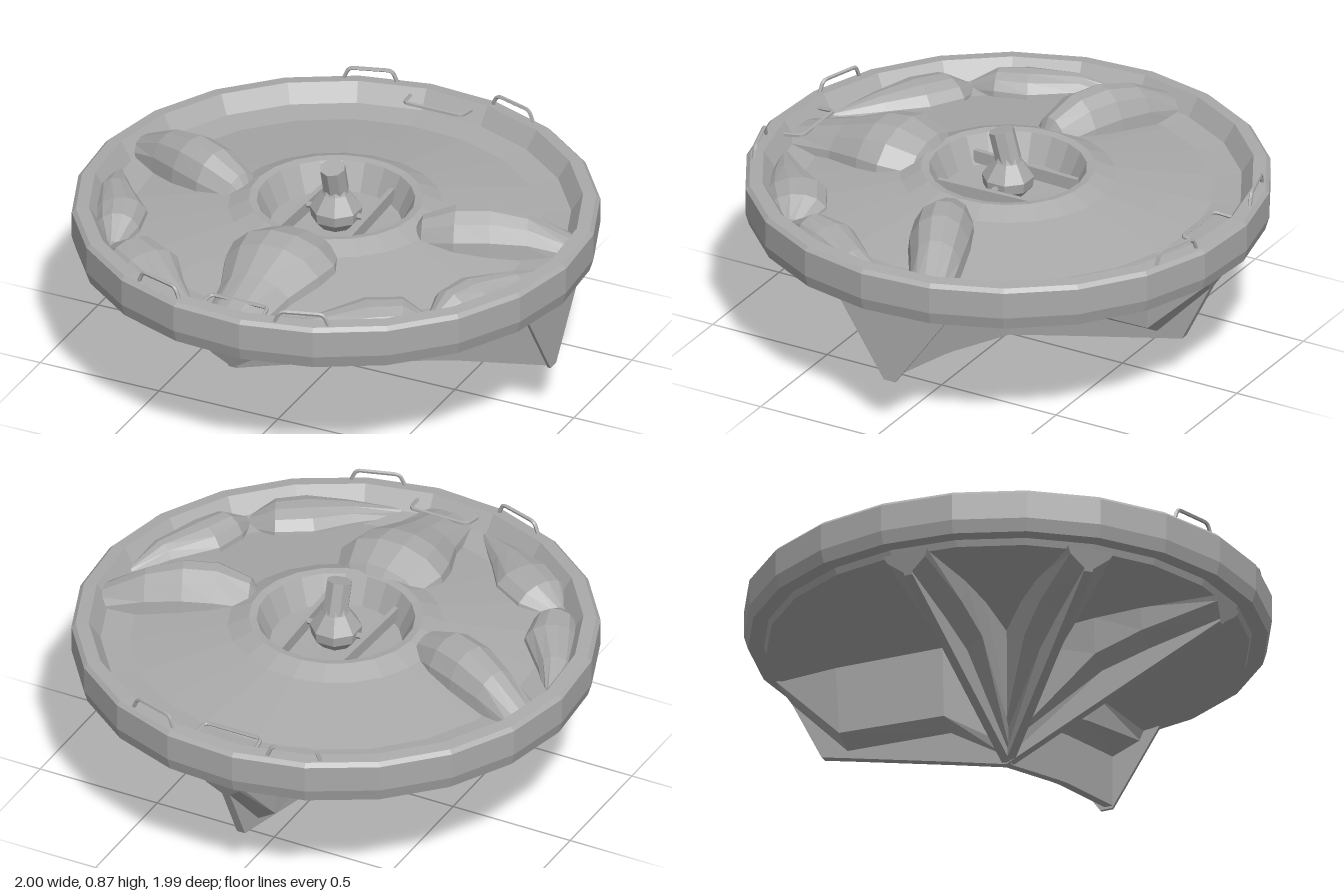
import * as THREE from 'three';

const grey = new THREE.MeshStandardMaterial({ color: 0xaaaaaa, flatShading: true, side: THREE.DoubleSide });
grey.name = 'plain grey';

function add(parent, name, geometry) {
  const mesh = new THREE.Mesh(geometry, grey);
  mesh.name = name;
  parent.add(mesh);
  return mesh;
}

function lathe(points, sides, start = 0) {
  return new THREE.LatheGeometry(points.map(p => new THREE.Vector2(p[0], p[1])), sides, start);
}

// Skin between successive rings of points
function loft(rings, closed, endCentre) {
  const out = [];
  const tri = (a, b, c) => out.push(...a, ...b, ...c);
  const n = rings[0].length;
  for (let i = 0; i < rings.length - 1; i++) {
    for (let j = 0; j < (closed ? n : n - 1); j++) {
      const k = (j + 1) % n;
      const [a, b, c, d] = [rings[i][j], rings[i + 1][j], rings[i][k], rings[i + 1][k]];
      tri(a, b, c);
      tri(c, b, d);
    }
  }
  if (endCentre) {
    const last = rings[rings.length - 1];
    last.forEach((p, j) => tri(endCentre, last[(j + 1) % n], p));
  }
  const g = new THREE.BufferGeometry();
  g.setAttribute('position', new THREE.Float32BufferAttribute(out, 3));
  g.computeVertexNormals();
  return g;
}

// Rounded swelling; each station is [x, z, half width, top height]
function lobe(stations, base = 0.58) {
  const steps = 7;
  return loft(stations.map(([x, z, half, top], i) => {
    const p = stations[Math.max(i - 1, 0)];
    const q = stations[Math.min(i + 1, stations.length - 1)];
    const len = Math.hypot(q[0] - p[0], q[1] - p[1]);
    const sx = (q[1] - p[1]) / len, sz = -(q[0] - p[0]) / len;
    return Array.from({ length: steps + 1 }, (_, j) => {
      const a = Math.PI * j / steps;
      const w = -Math.cos(a) * half;
      return [x + sx * w, base + (top - base) * Math.pow(Math.max(Math.sin(a), 0), 0.75), z + sz * w];
    });
  }), false);
}

// Keel along +x; each station is [top distance, bottom distance, bottom y, ledge y, half width]
function keel(stations) {
  const t = 0.017, top = 0.5;
  const rings = stations.map(([dt, db, yb, yl, w]) => {
    const low = Math.max(yl - 0.045, yb + 0.005);
    const mix = y => db + (dt - db) * (y - yb) / (top - yb);
    const side = [[top, w * 1.15], [yl, w], [low, t], [yb, t]];
    return [
      ...side.map(([y, z]) => [mix(y), y, -z]),
      ...side.reverse().map(([y, z]) => [mix(y), y, z]),
    ];
  });
  const [dt, db, yb, yl] = stations[stations.length - 1];
  return loft(rings, true, [db + (dt - db) * (yl - yb) / (top - yb), yl, 0]);
}

function bar(points, radius = 0.008) {
  const path = new THREE.CurvePath();
  const v = points.map(p => new THREE.Vector3(...p));
  // Straight runs with rounded corners
  let from = v[0];
  for (let i = 1; i < v.length - 1; i++) {
    const a = v[i].clone().lerp(v[i - 1], 0.02 / v[i].distanceTo(v[i - 1]));
    const b = v[i].clone().lerp(v[i + 1], 0.02 / v[i].distanceTo(v[i + 1]));
    path.add(new THREE.LineCurve3(from, a));
    path.add(new THREE.QuadraticBezierCurve3(a, v[i], b));
    from = b;
  }
  path.add(new THREE.LineCurve3(from, v[v.length - 1]));
  return new THREE.TubeGeometry(path, 30, radius, 5, false);
}

export function createModel() {
  const model = new THREE.Group();
  model.name = 'roundCraft';
  const start = THREE.MathUtils.degToRad(4.6);

  // Rim with closed underside
  add(model, 'rim', lathe([
    [0, 0.5], [0.915, 0.495], [0.925, 0.52], [0.985, 0.52], [1, 0.57], [1, 0.675],
    [0.985, 0.69], [0.935, 0.695], [0.89, 0.625],
  ], 22, start));

  // Dish with raised collar around a central well
  add(model, 'dish', lathe([
    [0.895, 0.625], [0.78, 0.615], [0.6, 0.645], [0.41, 0.675], [0.33, 0.71], [0.3, 0.705], [0.25, 0.6], [0, 0.59],
  ], 22, start));

  // Swellings on the dish
  add(model, 'frontLobe', lobe([
    [0, 0.285, 0.1, 0.67], [0, 0.33, 0.19, 0.745], [0, 0.45, 0.235, 0.785],
    [0, 0.55, 0.215, 0.775], [0, 0.7, 0.155, 0.72], [0, 0.9, 0.12, 0.66],
  ]));
  const sideLobes = {
    SideLobe: [[0.335, 0.05, 0.03, 0.65], [0.38, 0.03, 0.09, 0.735], [0.5, -0.01, 0.125, 0.785],
      [0.62, -0.06, 0.125, 0.79], [0.75, -0.12, 0.105, 0.755], [0.9, -0.18, 0.085, 0.67]],
    CornerLobe: [[0.18, 0.87, 0.02, 0.63], [0.34, 0.76, 0.08, 0.67], [0.46, 0.66, 0.13, 0.695],
      [0.57, 0.59, 0.12, 0.69], [0.66, 0.56, 0.05, 0.63]],
    RimLobe: [[0.9, 0.02, 0.02, 0.63], [0.84, 0.18, 0.07, 0.68], [0.74, 0.34, 0.11, 0.7],
      [0.7, 0.45, 0.09, 0.695], [0.67, 0.55, 0.03, 0.63]],
  };
  for (const [name, stations] of Object.entries(sideLobes)) {
    for (const s of [1, -1]) {
      const line = stations.map(([x, ...rest]) => [x * s, ...rest]);
      add(model, (s > 0 ? 'left' : 'right') + name, lobe(line));
    }
  }

  // Ball, tilted stem and rails in the well
  add(model, 'ball', lathe([[0.05, 0.58], [0.095, 0.63], [0.1, 0.67], [0.055, 0.735], [0.04, 0.77]], 8, Math.PI / 8));
  const stem = add(model, 'stem', new THREE.CylinderGeometry(0.05, 0.05, 0.13, 8));
  stem.position.set(0, 0.79, 0.012);
  stem.rotation.x = 0.27;
  const pin = add(model, 'crossPin', new THREE.CylinderGeometry(0.012, 0.012, 0.26, 6));
  pin.position.y = 0.65;
  pin.rotation.z = Math.PI / 2;
  for (const s of [1, -1]) {
    const rail = add(model, 'wellRail', new THREE.BoxGeometry(0.02, 0.05, 0.46));
    rail.position.set(0.13 * s, 0.635, -0.005);
    rail.rotation.y = 0.04 * s;
  }

  // Grab handles on and inside the rim
  for (const z of [1, -1]) {
    for (const x of [1, -1]) {
      add(model, 'rimHandle', bar([
        [0.2 * x, 0.685, 0.94 * z], [0.22 * x, 0.735, 0.935 * z],
        [0.38 * x, 0.735, 0.885 * z], [0.4 * x, 0.685, 0.88 * z],
      ]));
    }
    add(model, 'innerHandle', bar([
      [-0.13, 0.665, 0.92 * z], [-0.12, 0.675, 0.83 * z], [0.12, 0.675, 0.83 * z], [0.13, 0.665, 0.92 * z],
    ]));
  }

  // Keels meeting at the lowest point
  const shallow = [[0, 0, 0, 0.07, 0.03], [0.4, 0.4, 0.19, 0.355, 0.08], [0.6, 0.6, 0.285, 0.41, 0.09], [0.92, 0.89, 0.42, 0.475, 0.08]];
  const deepLeft = [[0, 0, 0, 0.07, 0.03], [0.42, 0.42, 0.115, 0.36, 0.09], [0.5, 0.5, 0.135, 0.38, 0.1], [0.905, 0.9, 0.21, 0.46, 0.13]];
  const deepBack = [[0, 0, 0, 0.08, 0.03], [0.23, 0.23, 0.055, 0.22, 0.08], [0.67, 0.66, 0.155, 0.23, 0.09], [0.93, 0.77, 0.18, 0.47, 0.07]];
  const keels = [
    ['leftKeel', deepLeft, 0], ['backKeel', deepBack, Math.PI / 2], ['rightKeel', shallow, Math.PI],
    ['frontKeel', shallow, -Math.PI / 2], ['diagonalKeel', shallow, -Math.PI * 0.75],
  ];
  for (const [name, stations, turn] of keels) add(model, name, keel(stations)).rotation.y = turn;

  // Triangular plate closing the left keel
  const tri = new THREE.Shape();
  tri.moveTo(-0.22, 0.515);
  tri.lineTo(-0.015, 0.2);
  tri.lineTo(0.035, 0.2);
  tri.lineTo(0.26, 0.515);
  const plate = add(model, 'keelEndPlate', new THREE.ExtrudeGeometry(tri, { depth: 0.012, bevelEnabled: false }));
  plate.rotation.y = Math.PI / 2;
  plate.position.x = 0.897;
  return model;
}
